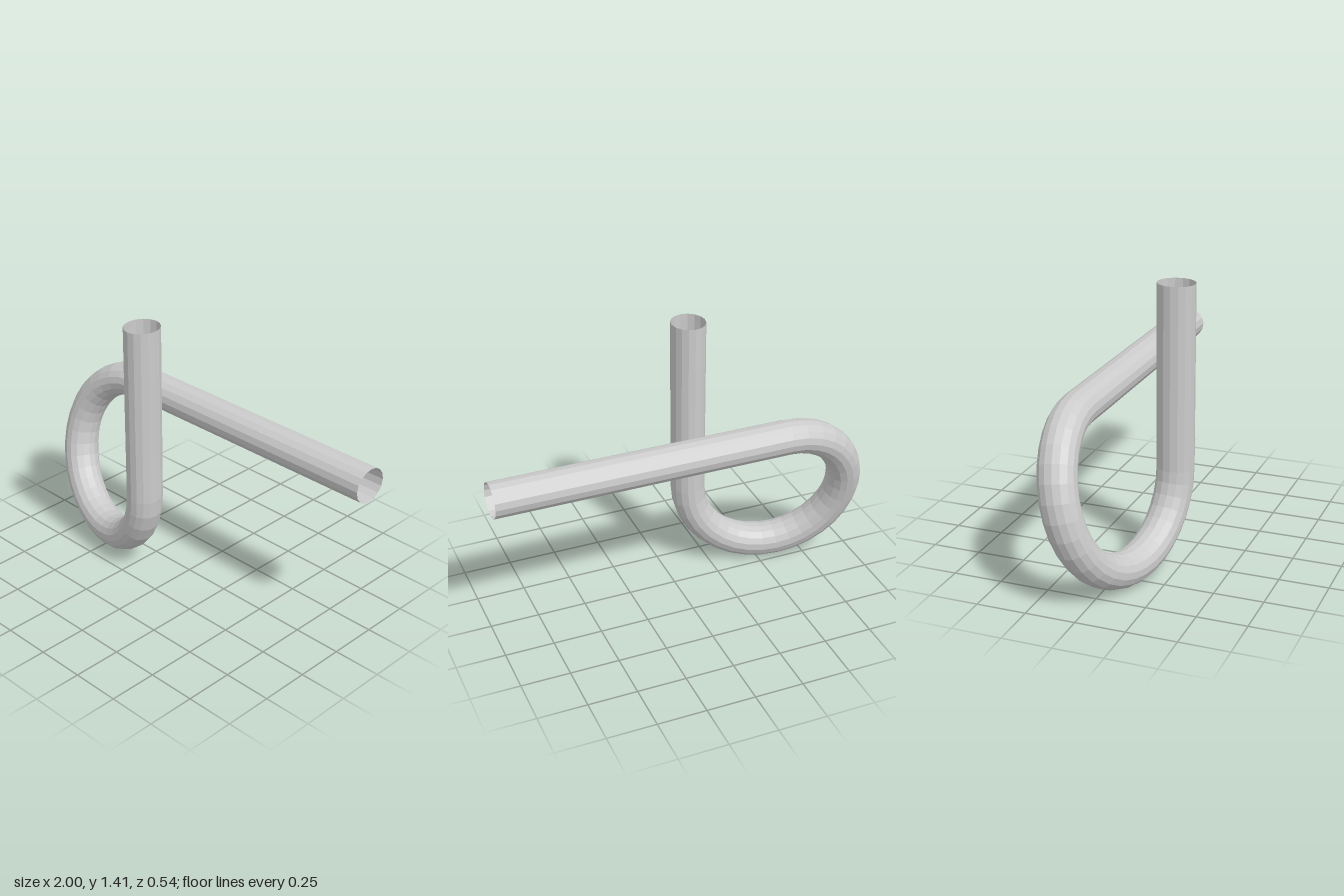
import * as THREE from 'three';

const ARC_STEPS = 24;              // bends in the loop
const STEPS = ARC_STEPS + 2;       // plus one straight run at each end
const R = 0.385, CX = -0.53, CY = 0.475;
const TUBE = 0.0875, DEPTH = 1.09; // section is slightly deeper than wide
const Z = 0.175 / DEPTH;

// Straight down, three quarters of a loop drifting backwards, straight out to +x
class PipePath extends THREE.Curve {
  arc(s, target) {
    const a = s * Math.PI * 1.5;
    return target.set(CX + R * Math.cos(a), CY - R * Math.sin(a), Z * Math.cos(s * Math.PI));
  }
  getPoint(t, target = new THREE.Vector3()) {
    const k = t * STEPS;
    this.arc(THREE.MathUtils.clamp((k - 1) / ARC_STEPS, 0, 1), target);
    if (k < 1) target.y = THREE.MathUtils.lerp(1.41, CY, k);
    if (k > STEPS - 1) target.x = THREE.MathUtils.lerp(CX, 1, k - STEPS + 1);
    return target;
  }
  // Sample by parameter so that rings fall exactly on the bend stations
  getPointAt(u, target) { return this.getPoint(u, target); }
  getTangentAt(u, target) { return this.getTangent(u, target); }
}

export function createModel() {
  const group = new THREE.Group();
  group.name = 'loopedPipe';

  // Open-ended pipe
  const geometry = new THREE.TubeGeometry(new PipePath(), STEPS, TUBE, 16, false);
  geometry.scale(1, 1, DEPTH);
  const material = new THREE.MeshStandardMaterial({
    color: 0xcccccc, flatShading: true, side: THREE.DoubleSide,
  });
  const pipe = new THREE.Mesh(geometry, material);
  pipe.name = 'pipe';
  group.add(pipe);
  return group;
}
